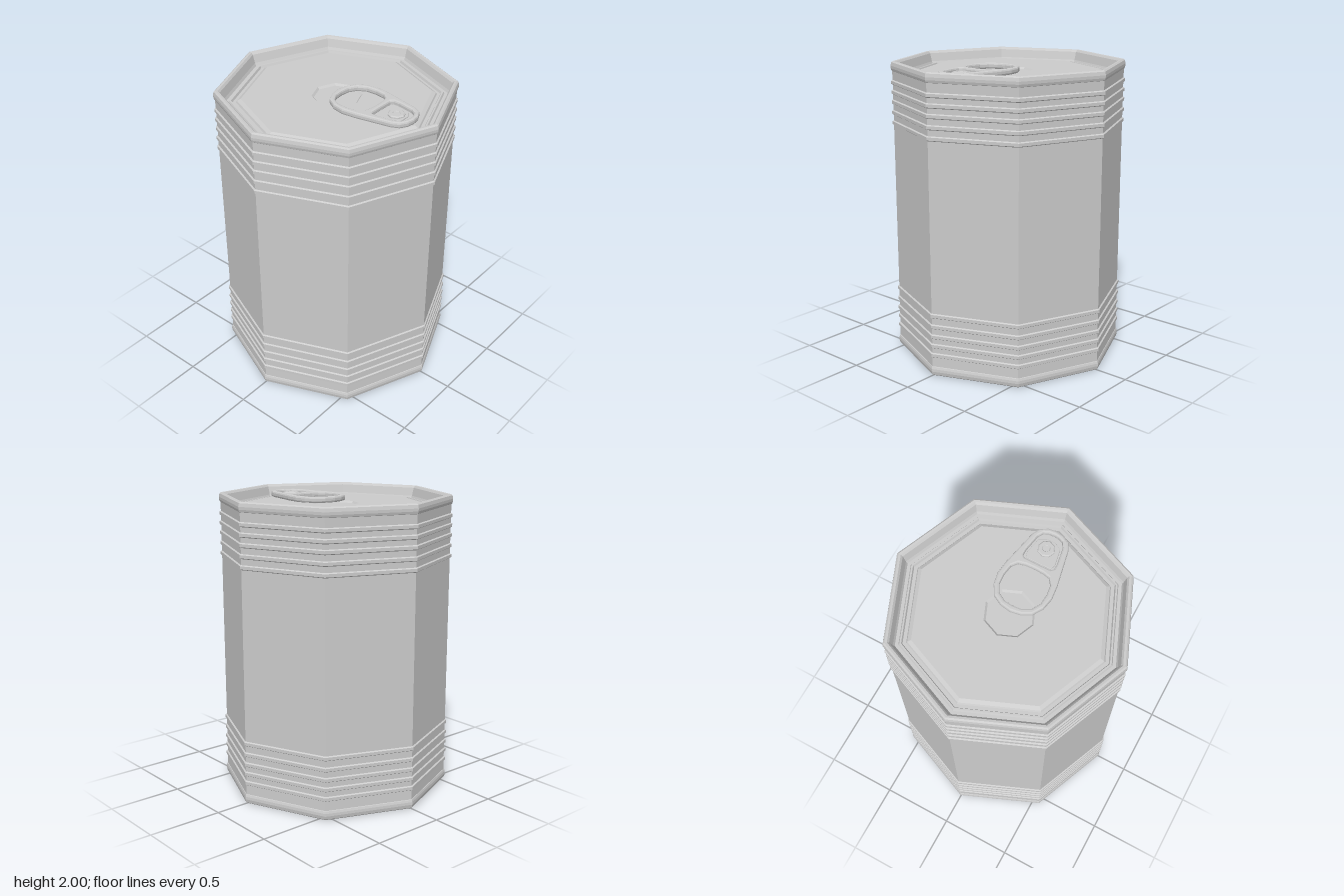
import * as THREE from 'three';

const material = new THREE.MeshStandardMaterial({ color: 0xcccccc, flatShading: true });
const SIDES = 8;

function addMesh(parent, name, geometry) {
  const mesh = new THREE.Mesh(geometry, material);
  mesh.name = name;
  parent.add(mesh);
  return mesh;
}

// Octagonal part turned from [radius, height] pairs, bottom to top along the outside
function turned(parent, name, profile) {
  const points = profile.map(([r, y]) => new THREE.Vector2(r, y));
  return addMesh(parent, name, new THREE.LatheGeometry(points, SIDES));
}

// Closed outline from a half outline of [x, z] pairs, mirrored over x = 0
function mirrored(half, Type = THREE.Shape) {
  const other = half.filter(([x]) => x > 0).reverse().map(([x, z]) => [-x, z]);
  return new Type([...half, ...other].map(([x, z]) => new THREE.Vector2(x, z)));
}

// Flat plate lying in xz with softened edges, between heights bottom and top
function plate(parent, name, shape, bottom, top, bevel) {
  const geometry = new THREE.ExtrudeGeometry(shape, {
    depth: top - bottom - 2 * bevel, bevelEnabled: true, bevelThickness: bevel,
    bevelSize: bevel, bevelOffset: -bevel, bevelSegments: 2,
  });
  geometry.rotateX(Math.PI / 2).translate(0, top - bevel, 0);
  return addMesh(parent, name, geometry);
}

export function createModel() {
  const can = new THREE.Group();
  can.name = 'tinCan';

  // Side wall with five ribs near each end
  const wall = [[0.772, 0.06]];
  const ribs = [0.145, 0.21, 0.275, 0.345, 0.42, 1.59, 1.66, 1.73, 1.795, 1.86];
  for (const y of ribs) {
    wall.push([0.77, y - 0.016], [0.78, y - 0.01], [0.78, y + 0.01], [0.77, y + 0.016]);
  }
  wall.push([0.772, 1.94]);
  turned(can, 'wall', wall);

  // End panel, from its dimpled centre out over the stepped recess and round the rim
  const end = [
    [0, 1.922], [0.15, 1.922], [0.163, 1.935], [0.61, 1.935], [0.635, 1.922],
    [0.642, 1.91], [0.665, 1.91], [0.672, 1.925], [0.683, 1.925], [0.69, 1.912],
    [0.712, 1.912], [0.722, 1.93], [0.738, 1.985], [0.75, 1.998], [0.765, 2],
    [0.776, 1.992], [0.781, 1.97], [0.78, 1.952], [0.775, 1.937], [0.765, 1.93],
  ];
  turned(can, 'lid', [...end].reverse());
  turned(can, 'base', end.map(([r, y]) => [r, 2 - y]));

  // Pull tab: egg-shaped frame with a finger hole and a rivet window
  const tab = new THREE.Group();
  tab.name = 'pullTab';
  can.add(tab);
  const frame = mirrored([
    [0, 0], [0.07, 0.012], [0.13, 0.045], [0.17, 0.11], [0.185, 0.19], [0.175, 0.28],
    [0.15, 0.4], [0.125, 0.52], [0.1, 0.57], [0.05, 0.598], [0, 0.605],
  ]);
  const fingerHole = mirrored([
    [0, 0.04], [0.06, 0.046], [0.11, 0.075], [0.14, 0.13], [0.145, 0.2],
    [0.135, 0.265], [0.105, 0.303], [0.06, 0.314], [0, 0.317],
  ], THREE.Path);
  const windowHalf = [
    [0, 0.352], [0.09, 0.354], [0.106, 0.37], [0.106, 0.41], [0.086, 0.52],
    [0.065, 0.555], [0.03, 0.57], [0, 0.573],
  ];
  frame.holes.push(fingerHole, mirrored(windowHalf, THREE.Path));
  plate(tab, 'tabFrame', frame, 1.938, 1.978, 0.012);

  // Sunken tongue that the rivet holds to the lid
  plate(tab, 'tabFloor', mirrored(windowHalf.map(([x, z]) => [x * 1.08, z])), 1.936, 1.95, 0.002);
  plate(tab, 'tabTongue', mirrored([
    [0, 0.362], [0.085, 0.364], [0.096, 0.4], [0.075, 0.51], [0.03, 0.535], [0, 0.535],
  ]), 1.945, 1.958, 0.003);
  turned(tab, 'rivet', [
    [0.058, 1.94], [0.056, 1.966], [0.048, 1.972], [0.026, 1.972], [0.022, 1.966], [0, 1.966],
  ]).position.z = 0.47;

  return can;
}
